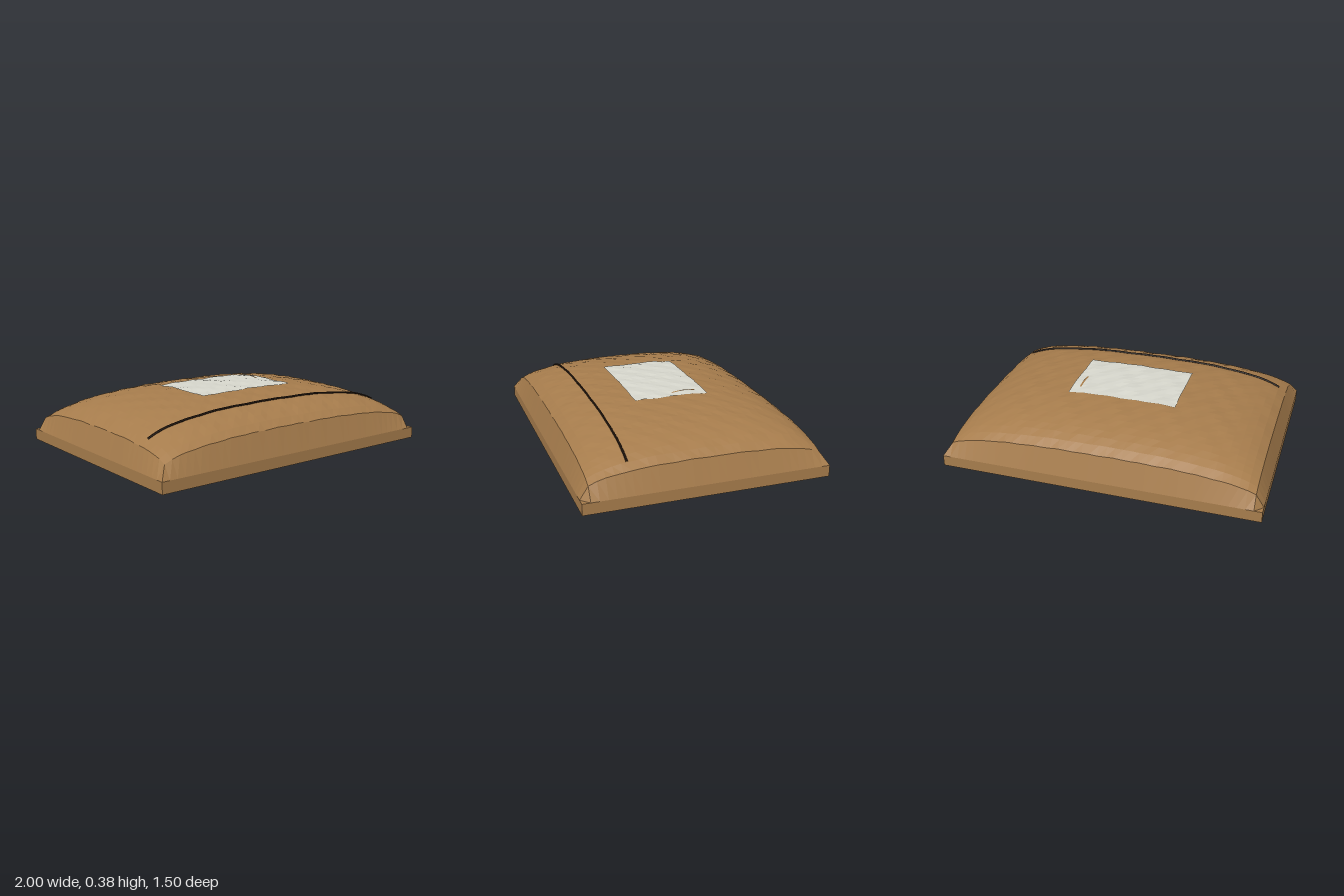
import * as THREE from 'three';

const HALF_X = 1, HALF_Z = 0.75, BASE = 0.07, RISE = 0.3;

// Pillow profile: full in the middle, falling steeply to zero at the rim
const bulge = (t) => Math.pow(Math.max(0, 1 - Math.pow(Math.min(1, Math.abs(t)), 2.5)), 0.345);

// Height of the stuffed top, with small wrinkles that fade at the rim
function surfaceY(x, z) {
  const b = bulge(x / HALF_X) * bulge(z / HALF_Z);
  const wrinkle = 0.004 * Math.sin(x * 37 + z * 6) * Math.cos(z * 31) + 0.0015 * Math.sin(x * 17 - z * 23);
  return BASE + b * (RISE + wrinkle);
}

// Flat grid draped over the stuffed top
function drape(width, depth, nx, nz, lift, cx = 0, cz = 0) {
  const geo = new THREE.PlaneGeometry(width, depth, nx, nz);
  geo.rotateX(-Math.PI / 2);
  geo.translate(cx, 0, cz);
  const p = geo.attributes.position;
  for (let i = 0; i < p.count; i++) p.setY(i, surfaceY(p.getX(i), p.getZ(i)) + lift);
  geo.computeVertexNormals();
  return geo;
}

function material(name, color) {
  const m = new THREE.MeshStandardMaterial({ color, flatShading: true, side: THREE.DoubleSide });
  m.name = name;
  return m;
}

export function createModel() {
  const group = new THREE.Group();
  group.name = 'stuffedSack';
  const burlap = material('burlap brown', 0xa67c4c);
  const paper = material('label grey white', 0xd6d6cc);
  const thread = material('dark thread', 0x2a1c12);

  const add = (name, geo, mat) => {
    const mesh = new THREE.Mesh(geo, mat);
    mesh.name = name;
    group.add(mesh);
  };

  // Straight-sided base, open on top where the mound sits
  const base = new THREE.BoxGeometry(2 * HALF_X, BASE, 2 * HALF_Z);
  base.translate(0, BASE / 2, 0);
  const idx = Array.from(base.index.array);
  idx.splice(12, 6);
  base.setIndex(idx);
  base.clearGroups();
  add('base', base, burlap);

  // Wrinkled bulging top
  add('bulgingTop', drape(2 * HALF_X, 2 * HALF_Z, 40, 30, 0), burlap);

  // Rectangular label with a small fold mark near its left end
  add('label', drape(0.7, 0.47, 14, 10, 0.006), paper);
  add('labelMark', drape(0.012, 0.15, 1, 6, 0.009, 0.293, -0.095), burlap);

  // Stitched seam running across the front
  const points = [];
  for (let i = 0; i <= 36; i++) {
    const x = -0.9 + i * 0.05;
    points.push(new THREE.Vector3(x, surfaceY(x, 0.465) + 0.003, 0.465));
  }
  add('seam', new THREE.TubeGeometry(new THREE.CatmullRomCurve3(points), 108, 0.007, 6), thread);

  return group;
}
